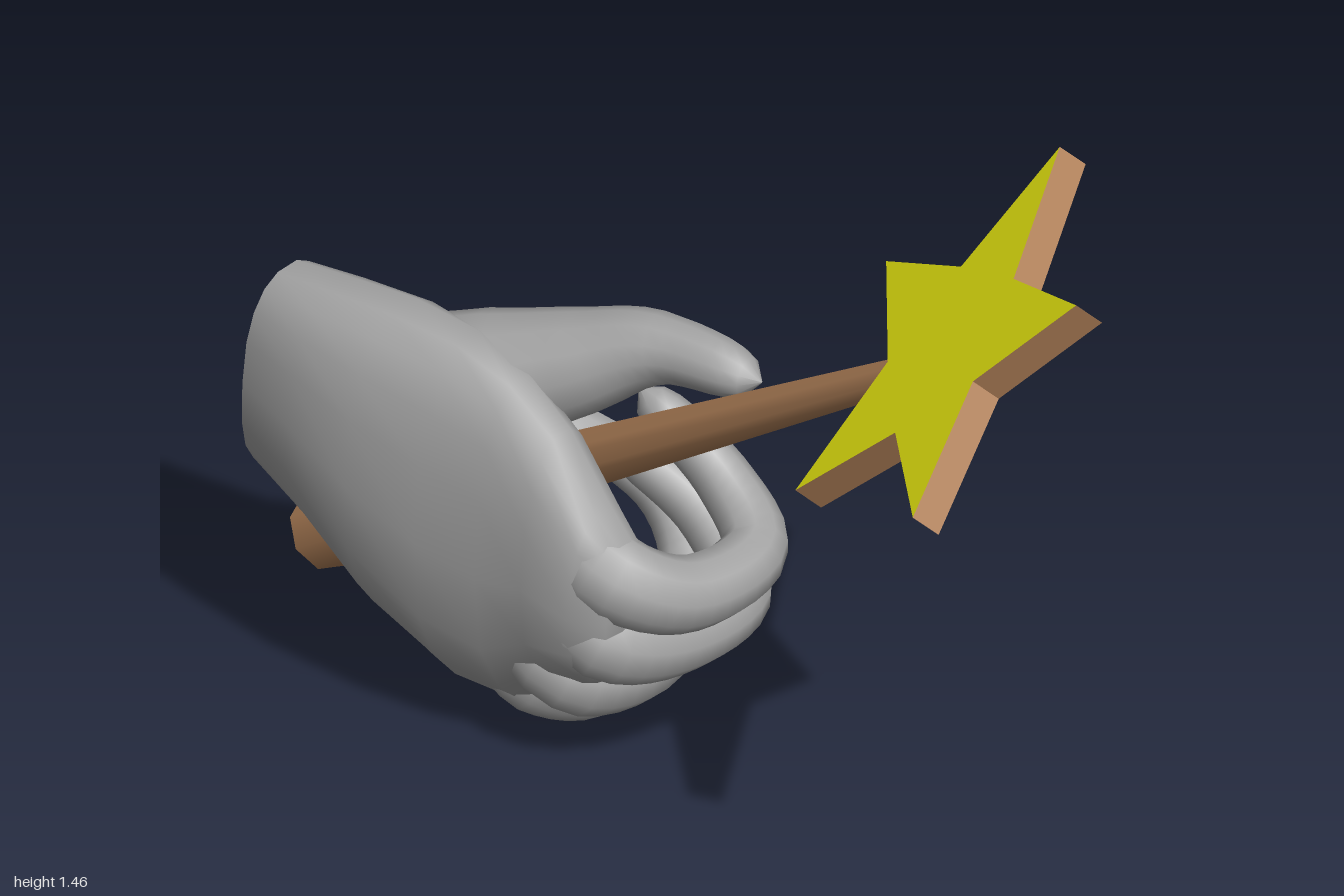
import * as THREE from 'three';
import { mergeVertices } from 'three/addons/utils/BufferGeometryUtils.js';

const V = (x, y, z) => new THREE.Vector3(x, y, z);

// Tapered tube with rounded tip, following points; one radius per point
function limb(points, radii, sides = 10, rings = 30) {
  const curve = new THREE.CatmullRomCurve3(points.map(p => V(...p)));
  const geo = new THREE.TubeGeometry(curve, rings, 1, sides, false);
  const pos = geo.attributes.position, v = V(0, 0, 0);
  for (let i = 0; i <= rings; i++) {
    const t = i / rings, c = curve.getPointAt(t);
    const f = t * (radii.length - 1), k = Math.min(Math.floor(f), radii.length - 2);
    let r = THREE.MathUtils.lerp(radii[k], radii[k + 1], f - k);
    if (t > 0.9) r *= Math.sqrt(Math.max(0.0004, 1 - ((t - 0.9) / 0.1) ** 2));
    for (let j = 0; j <= sides; j++) {
      const n = i * (sides + 1) + j;
      v.fromBufferAttribute(pos, n).sub(c).multiplyScalar(r).add(c);
      pos.setXYZ(n, v.x, v.y, v.z);
    }
  }
  geo.deleteAttribute('uv');
  geo.deleteAttribute('normal');
  const merged = mergeVertices(geo, 1e-5);
  merged.computeVertexNormals();
  return merged;
}

// Skin over sections [z, centre x, centre y, half width, half height, cup]; cup bends the lower edge to +x
function loft(sections, sides = 18) {
  const pos = [], index = [];
  for (const [z, cx, cy, hx, hy, cup] of sections) {
    for (let j = 0; j < sides; j++) {
      const a = (j / sides) * Math.PI * 2, c = Math.cos(a), s = Math.sin(a);
      const sq = q => Math.sign(q) * Math.abs(q) ** 0.8;
      pos.push(cx + hx * sq(c) + cup * Math.min(0, s) ** 2, cy + hy * sq(s), z + 0.015 * s);
    }
  }
  for (let i = 0; i < sections.length - 1; i++) {
    for (let j = 0; j < sides; j++) {
      const k = (j + 1) % sides;
      const a = i * sides + j, b = i * sides + k, c = b + sides, d = a + sides;
      index.push(a, b, c, a, c, d);
    }
  }
  const skin = new THREE.BufferGeometry();
  skin.setAttribute('position', new THREE.Float32BufferAttribute(pos, 3));
  skin.setIndex(index);
  skin.computeVertexNormals();

  // Flat cut over the first section
  const capPos = pos.slice(0, sides * 3), capIndex = [];
  for (let j = 1; j < sides - 1; j++) capIndex.push(0, j + 1, j);
  const cap = new THREE.BufferGeometry();
  cap.setAttribute('position', new THREE.Float32BufferAttribute(capPos, 3));
  cap.setIndex(capIndex);
  cap.computeVertexNormals();
  return { skin, cap };
}

export function createModel() {
  const model = new THREE.Group();
  const material = (name, color) => {
    const m = new THREE.MeshStandardMaterial({ color });
    m.name = name;
    return m;
  };
  const grey = material('glove grey', 0xa4a4a4);
  const wood = material('wood brown', 0xb08058);
  const yellow = material('star yellow', 0xe8e80f);
  const add = (parent, name, geo, mat) => {
    const mesh = new THREE.Mesh(geo, mat);
    mesh.name = name;
    parent.add(mesh);
    return mesh;
  };

  // Wand rod, tapering toward the star
  const butt = V(0.168, 0.075, -0.96), top = V(-0.02, 1.085, 0.525);
  const axis = top.clone().sub(butt);
  const rod = add(model, 'rod', new THREE.CylinderGeometry(0.03, 0.074, axis.length(), 8), wood);
  rod.position.copy(butt).add(top).multiplyScalar(0.5);
  rod.quaternion.setFromUnitVectors(V(0, 1, 0), axis.normalize());

  // Star: yellow faces, wooden rim
  const shape = new THREE.Shape();
  for (let i = 0; i < 10; i++) {
    const a = Math.PI / 2 + i * Math.PI / 5, r = i % 2 ? 0.18 : 0.402;
    shape[i ? 'lineTo' : 'moveTo'](r * Math.cos(a), r * Math.sin(a));
  }
  shape.closePath();
  const star = add(model, 'star',
    new THREE.ExtrudeGeometry(shape, { depth: 0.06, bevelEnabled: false }), [yellow, wood]);
  const normal = V(0.55, -0.65, 0.52).normalize();
  const up = V(-0.037, 0.228, 0.328).projectOnPlane(normal).normalize();
  const side = up.clone().cross(normal);
  star.quaternion.setFromRotationMatrix(new THREE.Matrix4().makeBasis(side, up, normal));
  star.position.set(-0.053, 1.202, 0.637);

  // Hand
  const hand = new THREE.Group();
  hand.name = 'hand';
  model.add(hand);

  const palm = loft([
    [-0.84, -0.095, 0.6, 0.105, 0.2, 0],
    [-0.72, -0.1, 0.575, 0.125, 0.24, 0.01],
    [-0.58, -0.09, 0.505, 0.142, 0.315, 0.04],
    [-0.44, -0.085, 0.435, 0.128, 0.375, 0.1],
    [-0.32, -0.085, 0.4, 0.107, 0.37, 0.14],
    [-0.22, -0.09, 0.415, 0.097, 0.285, 0.11],
    [-0.12, -0.095, 0.39, 0.085, 0.19, 0.05],
    [-0.06, -0.085, 0.385, 0.06, 0.12, 0.02],
    [-0.03, -0.08, 0.39, 0.001, 0.001, 0],
  ]);
  add(hand, 'palm', palm.skin, grey);
  add(hand, 'wristEnd', palm.cap, grey);

  add(hand, 'thumb', limb(
    [[-0.1, 0.6, -0.76], [-0.065, 0.635, -0.58], [-0.005, 0.69, -0.42], [0.05, 0.75, -0.28], [0.095, 0.812, -0.14], [0.12, 0.815, 0.075]],
    [0.05, 0.13, 0.122, 0.095, 0.06, 0.046], 12), grey);

  // Four fingers curling round the rod
  const fingers = {
    indexFinger: [[-0.08, 0.53, -0.27], [-0.09, 0.45, -0.08], [0.01, 0.4, -0.005], [0.19, 0.41, 0], [0.24, 0.48, -0.11], [0.21, 0.62, -0.28]],
    middleFinger: [[-0.08, 0.4, -0.27], [-0.09, 0.32, -0.11], [0.05, 0.28, -0.05], [0.22, 0.29, -0.06], [0.265, 0.37, -0.17], [0.2, 0.51, -0.34]],
    ringFinger: [[-0.06, 0.27, -0.36], [-0.065, 0.2, -0.22], [0.08, 0.165, -0.17], [0.27, 0.23, -0.21], [0.325, 0.33, -0.31], [0.2, 0.5, -0.5]],
    littleFinger: [[-0.02, 0.2, -0.46], [0, 0.12, -0.35], [0.1, 0.068, -0.29], [0.25, 0.09, -0.3], [0.28, 0.17, -0.39], [0.2, 0.3, -0.52]],
  };
  for (const [name, path] of Object.entries(fingers)) {
    add(hand, name, limb(path, [0.055, 0.08, 0.068, 0.06, 0.05, 0.043]), grey);
  }
  return model;
}
